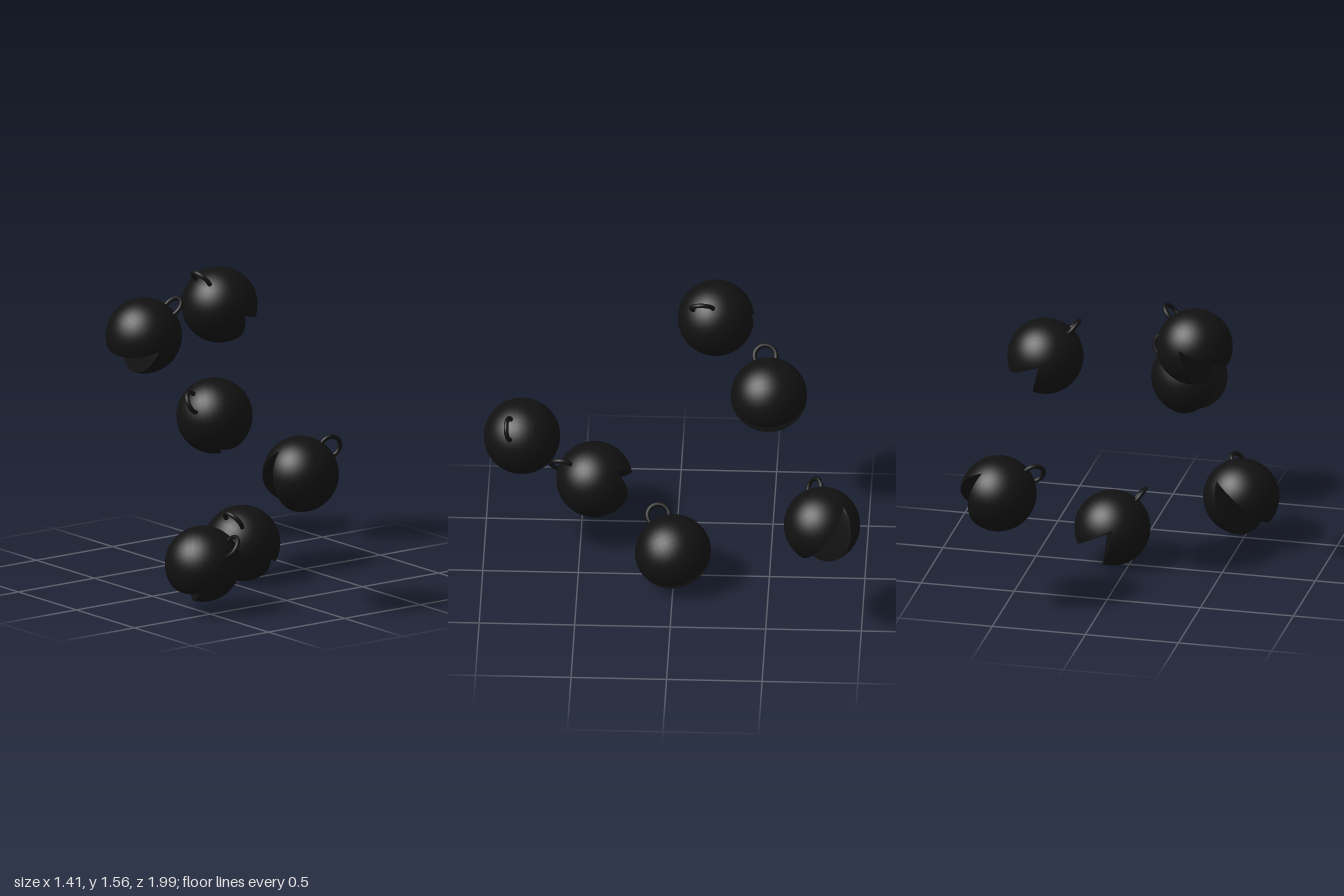
import * as THREE from 'three';
import { mergeGeometries } from 'three/addons/utils/BufferGeometryUtils.js';

const R = 0.2;          // ball radius
const HALF = 0.44;      // half of the mouth opening, radians
const DEPTH = 0.035;    // how far the mouth corner sits below the ball centre
const ROWS = 24;

// Local frame: ring on +y, mouth opens to -y, mouth hinge along z.
function ballGeometry() {
  const shell = new THREE.SphereGeometry(R, 32, ROWS, Math.PI / 2 + HALF, 2 * Math.PI - 2 * HALF);
  shell.rotateX(Math.PI / 2);

  // Inner face of the mouth, from hinge (u = 0) to rim (u = 1)
  const face = new THREE.PlaneGeometry(1, 1, 4, ROWS);
  const p = face.attributes.position;
  for (let i = 0; i < p.count; i++) {
    const t = p.getX(i) + 0.5;
    const a = Math.PI * (0.5 - p.getY(i));
    const s = Math.sin(a);
    p.setXYZ(i,
      t * R * Math.sin(HALF) * s,
      -((1 - t) * DEPTH + t * R * Math.cos(HALF)) * s,
      R * Math.cos(a));
  }
  face.computeVertexNormals();
  return mergeGeometries([shell, face, face.clone().rotateY(Math.PI)]);
}

// Each pose: centre, direction of the ring, normal of the ring plane
const POSES = [
  [[-0.40, 1.35, -0.205], [0.14, 0.15, 0.07], [0.73, -0.68, 0]],
  [[0.33, 1.35, -0.51], [-0.14, 0.16, 0.025], [0.75, 0.66, 0]],
  [[0.515, 0.67, -0.795], [-0.175, 0.105, 0.045], [0.5, 0.46, 0.86]],
  [[-0.135, 0.76, 0.80], [0.14, 0.13, 0.057], [-0.22, -0.2, 1]],
  [[0.09, 0.20, 0], [-0.13, 0.165, 0.09], [0.78, 0.63, 0]],
  [[-0.50, 0.26, 0.435], [0.05, 0.11, 0.16], [0.82, -0.57, 0.14]],
];

export function createModel() {
  const model = new THREE.Group();
  model.name = 'ringedBalls';
  const material = new THREE.MeshStandardMaterial({ color: 0x111111, side: THREE.DoubleSide });
  const ballGeo = ballGeometry();
  const ringGeo = new THREE.TorusGeometry(0.057, 0.012, 12, 32);
  ringGeo.rotateY(Math.PI / 2).translate(0, 0.21, 0);

  POSES.forEach(([centre, up, normal], i) => {
    const y = new THREE.Vector3(...up).normalize();
    const z = new THREE.Vector3(...normal).cross(y).normalize();
    const x = new THREE.Vector3().crossVectors(y, z);

    const group = new THREE.Group();
    group.name = `ringedBall${i + 1}`;
    group.quaternion.setFromRotationMatrix(new THREE.Matrix4().makeBasis(x, y, z));
    group.position.set(...centre);

    const ball = new THREE.Mesh(ballGeo, material);
    ball.name = 'ball';
    const ring = new THREE.Mesh(ringGeo, material);
    ring.name = 'hangingRing';
    group.add(ball, ring);
    model.add(group);
  });
  return model;
}
